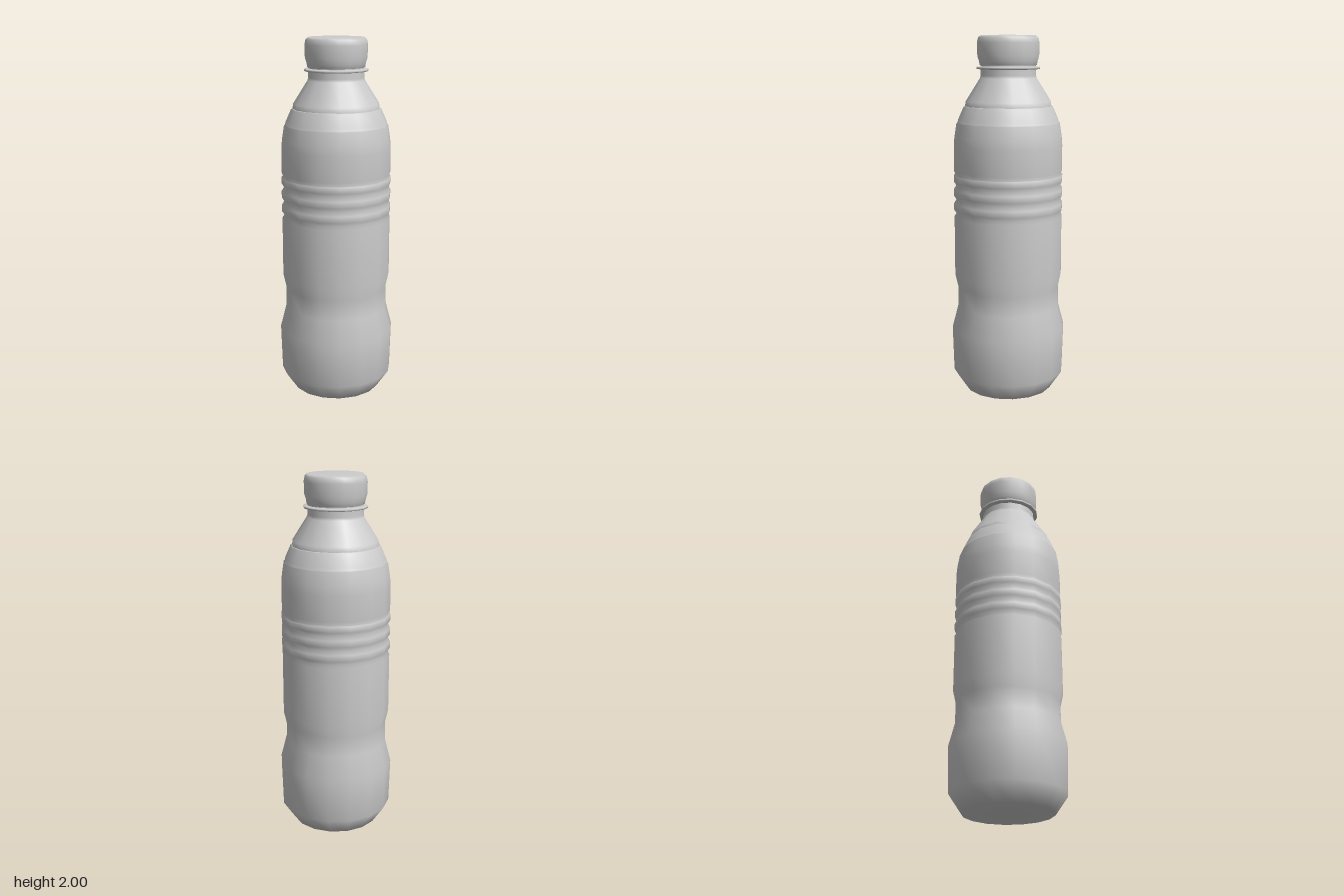
import * as THREE from 'three';

const SIDES = 16;
const TURN = THREE.MathUtils.degToRad(10.4);

// Smooth 16-sided turned part; profile runs bottom to top as [radius, height]
function turned(name, profile) {
  const points = profile.map(([r, y]) => new THREE.Vector2(r, y));
  const geometry = new THREE.LatheGeometry(points, SIDES, TURN);
  const material = new THREE.MeshStandardMaterial({ color: 0xcccccc, side: THREE.DoubleSide });
  const mesh = new THREE.Mesh(geometry, material);
  mesh.name = name;
  return mesh;
}

export function createModel() {
  const bottle = new THREE.Group();
  bottle.name = 'bottle';

  // Three rounded grip ribs separated by shallow grooves
  const ribs = [[0.304, 1.005], [0.293, 1.022]];
  for (let i = 0; i < 3; i++) {
    const y = 1.06 + i * 0.08;
    ribs.push([0.306, y - 0.018], [0.306, y + 0.018]);
    if (i < 2) ribs.push([0.293, y + 0.04]);
  }
  ribs.push([0.294, 1.238], [0.304, 1.26]);

  // Body: foot, bulging base, waist, ribbed middle and shoulder
  bottle.add(turned('body', [
    [0, 0], [0.247, 0], [0.315, 0.1], [0.3225, 0.355],
    [0.289, 0.485], [0.288, 0.6], [0.304, 0.67],
    ...ribs,
    [0.304, 1.4], [0.3, 1.45], [0.288, 1.525],
    [0.282, 1.53], [0.279, 1.545], [0.248, 1.615], [0.24, 1.618],
  ]));

  // Conical neck running up to the mouth
  bottle.add(turned('neck', [
    [0.24, 1.618], [0.236, 1.645], [0.157, 1.77], [0.153, 1.785], [0.153, 1.86],
  ]));

  // Thin collar under the cap
  bottle.add(turned('collar', [
    [0.15, 1.817], [0.174, 1.82], [0.176, 1.826], [0.174, 1.832], [0.15, 1.835],
  ]));

  // Cap with tucked-in lower edge and rounded rim
  bottle.add(turned('cap', [
    [0.15, 1.838], [0.158, 1.842], [0.161, 1.862], [0.17, 1.89],
    [0.172, 1.96], [0.166, 1.988], [0.153, 2], [0, 2],
  ]));

  return bottle;
}
